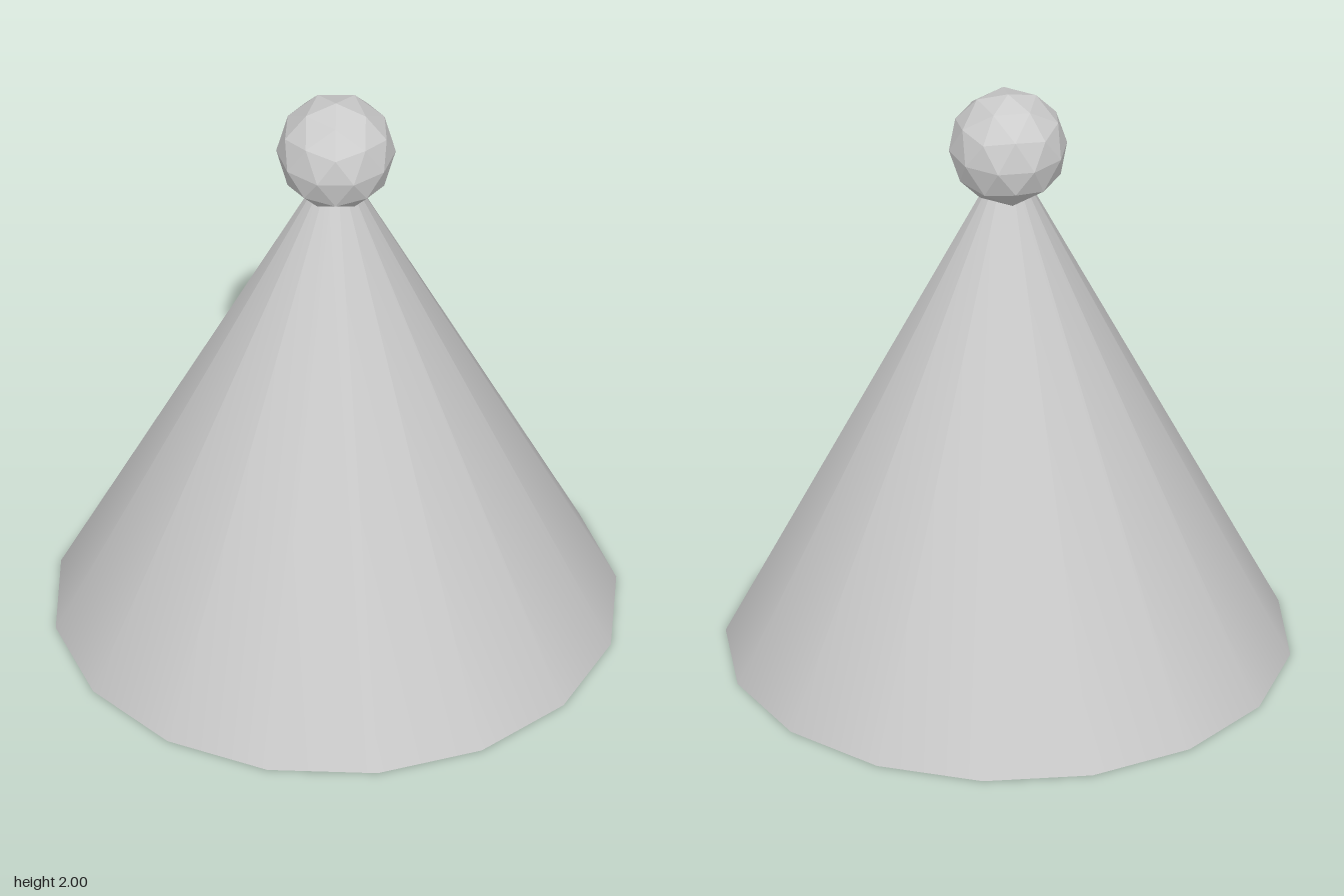
import * as THREE from 'three';

export function createModel() {
  const group = new THREE.Group();
  group.name = 'partyHat';

  const material = new THREE.MeshStandardMaterial({ color: 0xcccccc });
  const flatMaterial = new THREE.MeshStandardMaterial({ color: 0xcccccc, flatShading: true });

  const baseRadius = 0.9;
  const coneHeight = 1.81;
  const pomRadius = 0.19;

  // Smooth sixteen-sided cone, closed underneath
  const cone = new THREE.Mesh(new THREE.ConeGeometry(baseRadius, coneHeight, 16), material);
  cone.name = 'hatCone';
  cone.position.y = coneHeight / 2;
  group.add(cone);

  // Faceted pompom around the tip, turned so that one corner points straight up
  const pomGeometry = new THREE.IcosahedronGeometry(pomRadius, 1);
  pomGeometry.rotateX(-Math.atan((1 + Math.sqrt(5)) / 2));
  pomGeometry.rotateY(Math.PI / 2);
  const pompom = new THREE.Mesh(pomGeometry, flatMaterial);
  pompom.name = 'pompom';
  pompom.position.y = coneHeight;
  group.add(pompom);

  return group;
}
